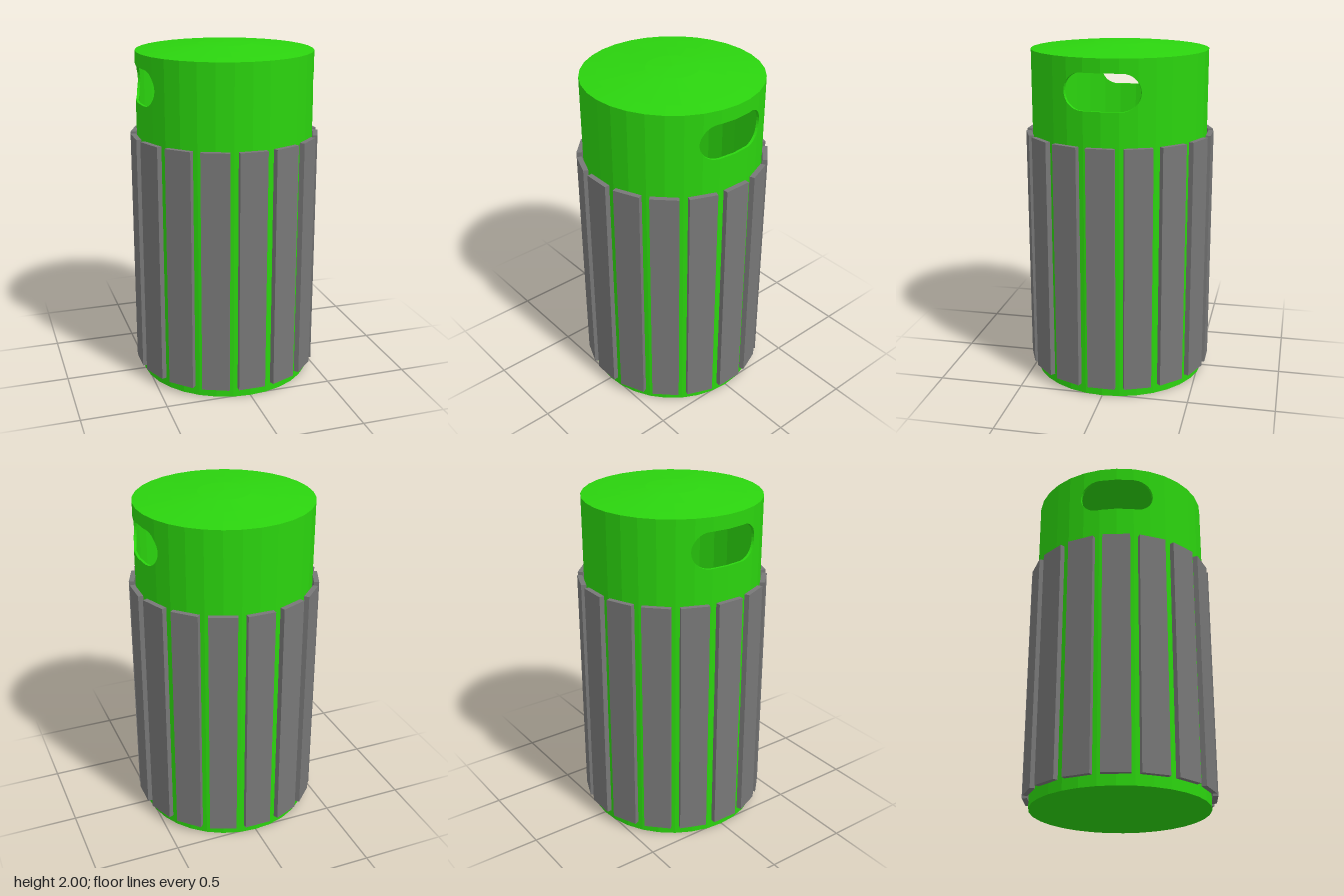
import * as THREE from 'three';

const R = 0.515, WALL = 0.015, SIDES = 32, STEP = (2 * Math.PI) / SIDES;
const LID_Y = 1.555, TOP_Y = 1.96;
// Stadium-shaped opening: centre height, half height, half length of the straight part
const HOLE_Y = 1.778, HOLE_H = 0.103, HOLE_L = 0.112;

const green = new THREE.MeshStandardMaterial({ color: 0x2bd40e, flatShading: true, side: THREE.DoubleSide });
const grey = new THREE.MeshStandardMaterial({ color: 0x777777, flatShading: true });

function add(parent, name, geometry, material) {
  const mesh = new THREE.Mesh(geometry, material);
  mesh.name = name;
  parent.add(mesh);
  return mesh;
}

function lathe(points) {
  return new THREE.LatheGeometry(points.map(([r, y]) => new THREE.Vector2(r, y)), SIDES);
}

// Point on the faceted wall at angle a
function wallPoint(a, y, scale) {
  const local = a - Math.floor(a / STEP + 1e-6) * STEP;
  const r = scale * R * Math.cos(STEP / 2) / Math.cos(local - STEP / 2);
  return [r * Math.cos(a), y, r * Math.sin(a)];
}

// Half height of the opening at a sideways distance z
function holeHalf(z) {
  const d = Math.max(0, Math.abs(z) - HOLE_L);
  return d >= HOLE_H ? 0 : Math.sqrt(HOLE_H * HOLE_H - d * d);
}

// Angle at which the faceted wall reaches sideways distance z
function angleAt(z) {
  const k = Math.floor(Math.asin(z / R) / STEP);
  const [x0, , z0] = wallPoint(k * STEP, 0, 1);
  const [x1, , z1] = wallPoint((k + 1) * STEP, 0, 1);
  return Math.atan2(z, x0 + (x1 - x0) * (z - z0) / (z1 - z0));
}

// Thin ring wall with an opening on each side, built column by column
function lidWall() {
  const angles = [];
  for (let k = 0; k < SIDES; k++) angles.push(k * STEP);
  for (let i = 0; i <= 8; i++) {
    const a = angleAt(HOLE_L + HOLE_H * Math.sin((i / 8) * Math.PI / 2));
    angles.push(a, Math.PI - a, Math.PI + a, 2 * Math.PI - a);
  }
  angles.sort((a, b) => a - b);
  angles.push(2 * Math.PI);

  const pos = [];
  const quad = (a, b, c, d) => pos.push(...a, ...b, ...c, ...a, ...c, ...d);
  const inner = 1 - WALL / R;
  for (let i = 0; i < angles.length - 1; i++) {
    const a = angles[i], b = angles[i + 1];
    if (b - a < 1e-6) continue;
    const ha = holeHalf(wallPoint(a, 0, 1)[2]), hb = holeHalf(wallPoint(b, 0, 1)[2]);
    const bands = [[LID_Y, LID_Y, HOLE_Y - ha, HOLE_Y - hb], [HOLE_Y + ha, HOLE_Y + hb, TOP_Y, TOP_Y]];
    for (const [a0, b0, a1, b1] of bands) {
      quad(wallPoint(a, a0, 1), wallPoint(a, a1, 1), wallPoint(b, b1, 1), wallPoint(b, b0, 1));
      quad(wallPoint(b, b0, inner), wallPoint(b, b1, inner), wallPoint(a, a1, inner), wallPoint(a, a0, inner));
    }
    // Rim of the opening
    if (ha + hb > 1e-4) {
      const lo = [HOLE_Y - ha, HOLE_Y - hb], hi = [HOLE_Y + ha, HOLE_Y + hb];
      quad(wallPoint(a, lo[0], 1), wallPoint(a, lo[0], inner), wallPoint(b, lo[1], inner), wallPoint(b, lo[1], 1));
      quad(wallPoint(a, hi[0], inner), wallPoint(a, hi[0], 1), wallPoint(b, hi[1], 1), wallPoint(b, hi[1], inner));
    }
  }
  const g = new THREE.BufferGeometry();
  g.setAttribute('position', new THREE.Float32BufferAttribute(pos, 3));
  g.computeVertexNormals();
  return g;
}

export function createModel() {
  const model = new THREE.Group();
  model.name = 'litterBin';

  // Hollow bin body, open under the lid
  const ri = R - WALL;
  add(model, 'body', lathe([[0, 0], [R, 0], [R, LID_Y], [ri, LID_Y], [ri, 0.02], [0, 0.02]]), green);

  // Lid with two side openings and a shallow dome
  const lid = new THREE.Group();
  lid.name = 'lid';
  add(lid, 'lidWall', lidWall(), green);
  add(lid, 'lidDome', lathe([[R, TOP_Y], [0.42, 1.971], [0.3, 1.983], [0.15, 1.996], [0, 2]]), green);
  model.add(lid);

  // Ring of upright slats
  const slats = new THREE.Group();
  slats.name = 'slats';
  const slatGeometry = new THREE.BoxGeometry(0.16, 1.42, 0.03);
  for (let i = 0; i < 16; i++) {
    const a = (i / 16) * Math.PI * 2;
    const slat = add(slats, 'slat', slatGeometry, grey);
    slat.position.set(0.532 * Math.sin(a), 0.77, 0.532 * Math.cos(a));
    slat.rotation.y = a;
  }
  model.add(slats);

  return model;
}
